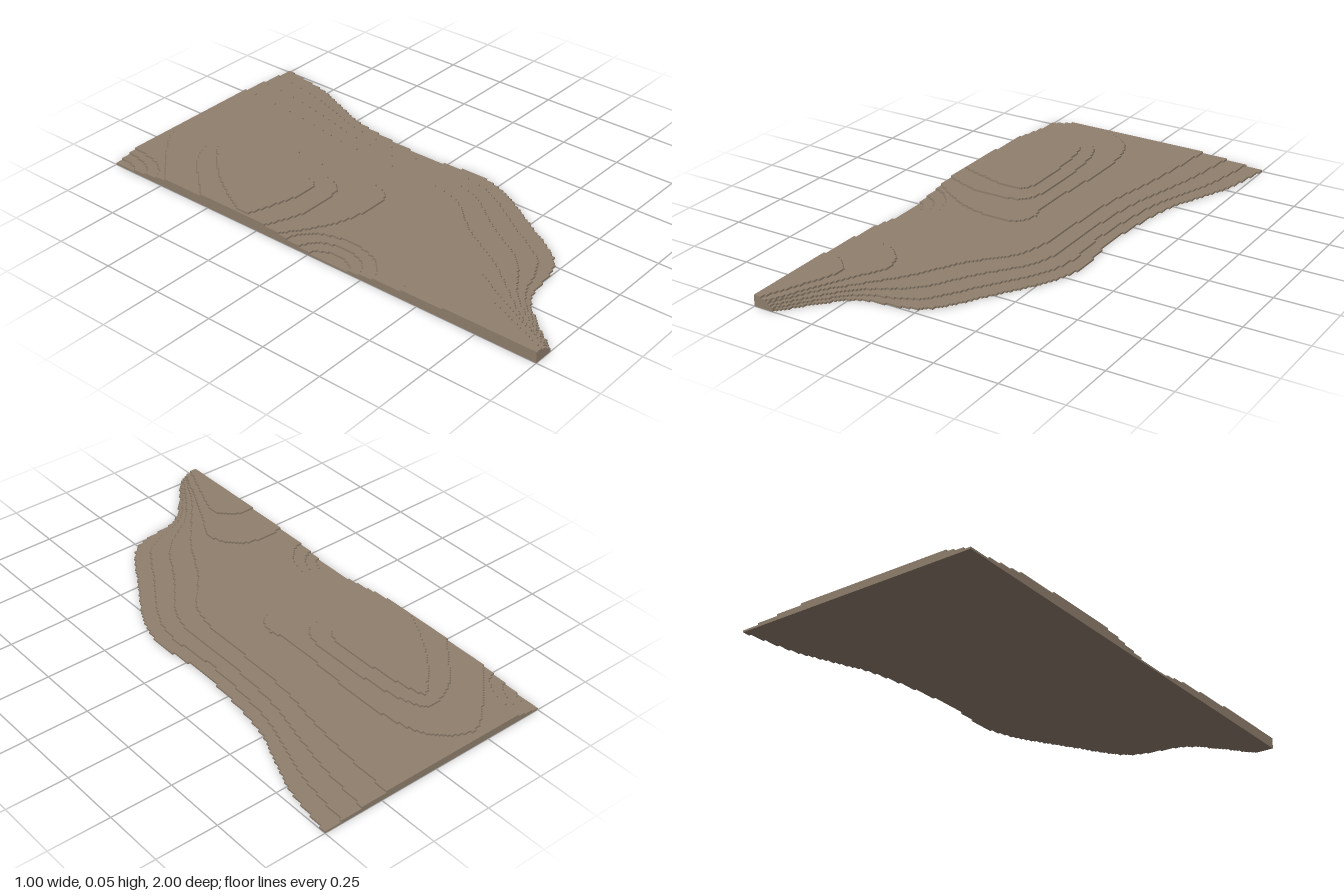
import * as THREE from 'three';

const CELL = 0.01, STEP = 0.0075, NX = 100, NZ = 200;

// Smooth outline through a few x, z pairs
function smooth(coords) {
  const points = [];
  for (let k = 0; k < coords.length; k += 2) points.push(new THREE.Vector2(coords[k], coords[k + 1]));
  return new THREE.SplineCurve(points).getPoints(points.length * 10);
}
// Close an outline beyond the straight side at x = -0.5
function closeAtSide(line, zFirst, zLast) {
  return [...line, new THREE.Vector2(-0.6, zLast), new THREE.Vector2(-0.6, zFirst)];
}
const hill = coords => closeAtSide(smooth(coords), coords[1], coords.at(-1));

// Shore line at the ground and rim of the main plateau, point for point
const shoreLine = smooth([0.5, -1, 0.46, -0.78, 0.4, -0.62, 0.34, -0.45, 0.3, -0.12, 0.31, 0.03, 0.32, 0.15,
  0.28, 0.3, 0.15, 0.52, 0.04, 0.69, -0.06, 0.745, -0.2, 0.77, -0.29, 0.84, -0.42, 1]);
const plateauRim = smooth([0.23, -1, 0.21, -0.77, 0.185, -0.58, 0.15, -0.37, 0.135, -0.13, 0.13, 0.04, 0.115, 0.14,
  0.08, 0.235, -0.04, 0.38, -0.12, 0.52, -0.17, 0.6, -0.25, 0.7, -0.35, 0.83, -0.445, 1]);
const slope = t => closeAtSide(shoreLine.map((p, k) => p.clone().lerp(plateauRim[k], t)), -1, 1);

// Back hill and front hill, then their higher terraces
const backHill = hill([-0.5, -0.14, -0.33, -0.03, -0.18, 0.01, -0.07, 0, -0.025, -0.08, -0.045, -0.19,
  -0.02, -0.6, -0.06, -0.85, -0.2, -0.965, -0.33, -0.89, -0.5, -0.72]);
const frontHill = hill([-0.5, 0.43, -0.4, 0.42, -0.29, 0.46, -0.243, 0.575, -0.316, 0.72, -0.46, 1.02]);
const backHillUpper = hill([-0.5, -0.21, -0.36, -0.155, -0.23, -0.15, -0.134, -0.18, -0.1, -0.295,
  -0.11, -0.585, -0.147, -0.744, -0.204, -0.78, -0.327, -0.725, -0.5, -0.53]);
const frontHillUpper = hill([-0.5, 0.61, -0.42, 0.62, -0.36, 0.7, -0.42, 0.87, -0.485, 1.02]);
const summit = smooth([-0.485, -0.3, -0.39, -0.27, -0.24, -0.235, -0.17, -0.27, -0.16, -0.43, -0.194, -0.71,
  -0.26, -0.68, -0.37, -0.56, -0.485, -0.36, -0.485, -0.3]);

// Terraces from lowest to highest; pit and corner are hollow radii along x and z
const terraces = [
  { land: [slope(0)] },
  { land: [slope(0.27)], pit: [0.05, 0.09], corner: [0.03, 0.1] },
  { land: [slope(0.6)], pit: [0.09, 0.14], corner: [0.07, 0.16] },
  { land: [slope(1)], pit: [0.13, 0.2], corner: [0.1, 0.22] },
  { land: [backHill, frontHill] },
  { land: [backHillUpper, frontHillUpper] },
  { land: [summit] },
];

function inside(poly, x, z) {
  let hit = false;
  for (let i = 0, j = poly.length - 1; i < poly.length; j = i++) {
    const a = poly[i], b = poly[j];
    if ((a.y > z) !== (b.y > z) && x < ((b.x - a.x) * (z - a.y)) / (b.y - a.y) + a.x) hit = !hit;
  }
  return hit;
}
const inEllipse = (x, z, cx, cz, r) => r && ((x - cx) / r[0]) ** 2 + ((z - cz) / r[1]) ** 2 < 1;

// Number of terraces stacked on a grid cell
function levelAt(i, j) {
  const x = -0.5 + (i + 0.5) * CELL, z = -1 + (j + 0.5) * CELL;
  let level = 0;
  for (const { land, pit, corner } of terraces) {
    if (!land.some(poly => inside(poly, x, z))) break;
    if (inEllipse(x, z, -0.5, 0.1, pit) || inEllipse(x, z, -0.5, -1, corner)) break;
    level++;
  }
  return level;
}

function meshFromQuads(quads, name, material) {
  const positions = quads.flatMap(([a, b, c, d]) => [a, b, c, a, c, d].flat());
  const geometry = new THREE.BufferGeometry();
  geometry.setAttribute('position', new THREE.Float32BufferAttribute(positions, 3));
  geometry.computeVertexNormals();
  const mesh = new THREE.Mesh(geometry, material);
  mesh.name = name;
  return mesh;
}

export function createModel() {
  const earth = new THREE.MeshStandardMaterial({ color: 0x8f7f6d });
  earth.name = 'earth brown';
  const levels = Array.from({ length: NZ }, (_, j) => Array.from({ length: NX }, (_, i) => levelAt(i, j)));
  const at = (i, j) => levels[j]?.[i] ?? 0;
  const treads = [], risers = [], base = [];

  for (let j = 0; j < NZ; j++) {
    const z0 = -1 + j * CELL, z1 = z0 + CELL;
    // Flat strips, one for each run of equal height
    for (let i = 0, end; i < NX; i = end) {
      const level = at(i, j), y = level * STEP;
      for (end = i + 1; end < NX && at(end, j) === level;) end++;
      if (!level) continue;
      const x0 = -0.5 + i * CELL, x1 = -0.5 + end * CELL;
      treads.push([[x0, y, z1], [x1, y, z1], [x1, y, z0], [x0, y, z0]]);
      base.push([[x0, 0, z0], [x1, 0, z0], [x1, 0, z1], [x0, 0, z1]]);
    }
    // Upright faces wherever a neighbour is lower
    for (let i = 0; i < NX; i++) {
      for (const [dx, dz] of [[1, 0], [-1, 0], [0, 1], [0, -1]]) {
        const low = at(i + dx, j + dz) * STEP, high = at(i, j) * STEP;
        if (high <= low) continue;
        const h = CELL / 2, mx = -0.5 + i * CELL + h + dx * h, mz = z0 + h + dz * h;
        const corner = (side, y) => [mx + side * dz * h, y, mz - side * dx * h];
        risers.push([corner(-1, low), corner(1, low), corner(1, high), corner(-1, high)]);
      }
    }
  }

  const model = new THREE.Group();
  model.name = 'terracedTerrain';
  model.add(
    meshFromQuads(treads, 'terraceTops', earth),
    meshFromQuads(risers, 'terraceSides', earth),
    meshFromQuads(base, 'underside', earth),
  );
  return model;
}
